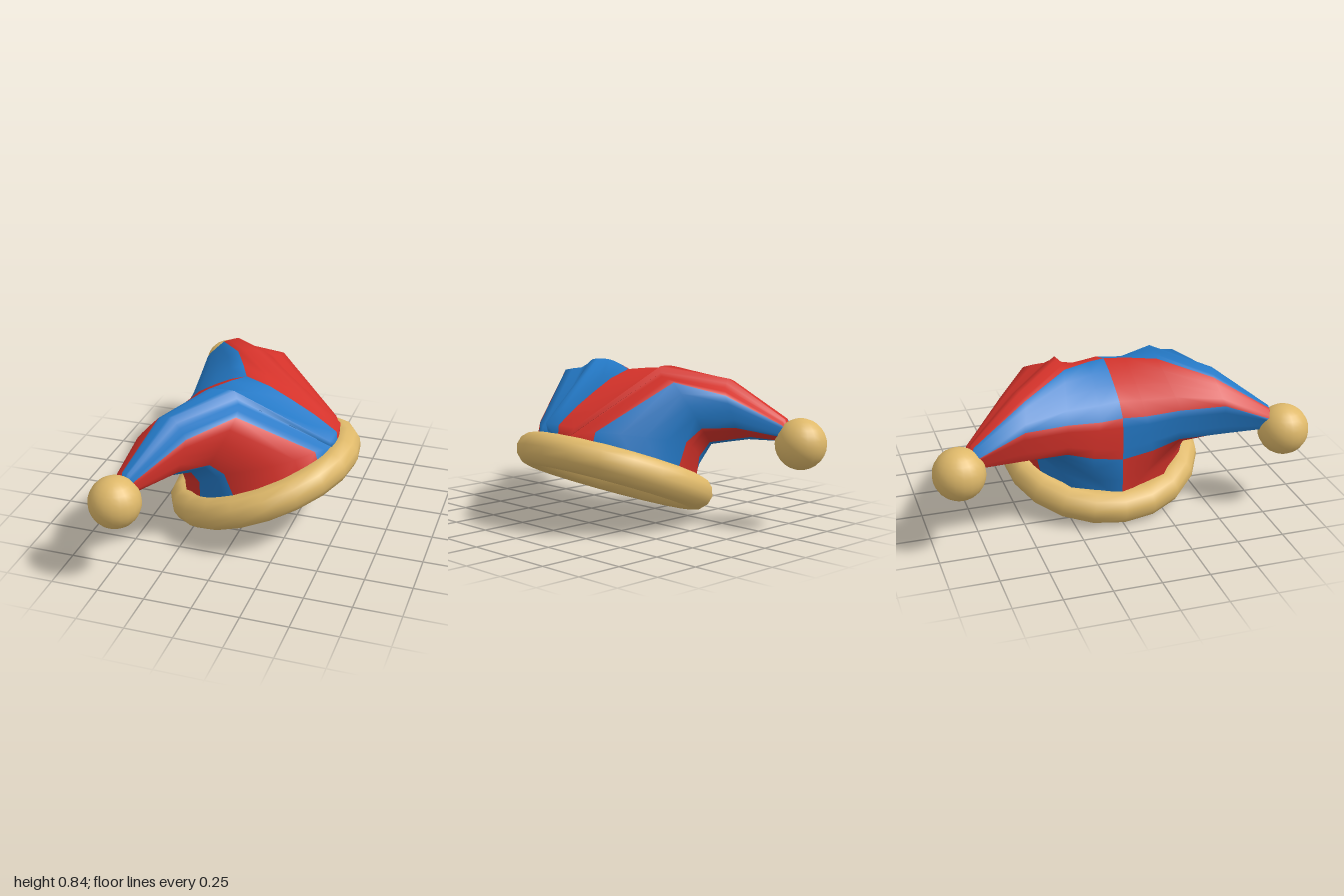
import * as THREE from 'three';

const blue = new THREE.MeshStandardMaterial({ color: 0x2479c6, side: THREE.DoubleSide });
blue.name = 'blue cloth';
const red = new THREE.MeshStandardMaterial({ color: 0xd4322a, side: THREE.DoubleSide });
red.name = 'red cloth';
const tan = new THREE.MeshStandardMaterial({ color: 0xdfb96a });
tan.name = 'tan trim';

const V = (x, y, z) => new THREE.Vector3(x, y, z);
const TILT = Math.atan2(0.33, 0.85);
const CENTRE = V(0.063, 0.255, 0);

// point on the tilted circle where the cloth meets the brim
function rim(degrees) {
  const a = THREE.MathUtils.degToRad(degrees);
  return V(0.445 * Math.cos(a), 0.03, 0.445 * Math.sin(a))
    .applyAxisAngle(V(0, 0, 1), TILT).add(CENTRE);
}

// lines running from the hat opening to the horn tip, clockwise from the crown
const TIP = V(-0.435, 0.455, 0.83);
const seams = [
  [V(-0.04, 0.8, 0), V(-0.09, 0.812, 0.1), V(-0.17, 0.818, 0.25), V(-0.34, 0.75, 0.5), V(-0.425, 0.575, 0.785)],
  [V(0.457, 0.55, 0), V(0.45, 0.547, 0.11), V(-0.02, 0.836, 0.26), V(-0.26, 0.775, 0.52), V(-0.39, 0.575, 0.795)],
  [rim(27), V(0.4, 0.53, 0.215), V(0.04, 0.77, 0.415), V(-0.16, 0.7, 0.59), V(-0.35, 0.55, 0.81)],
  [rim(90), V(-0.01, 0.46, 0.46), V(-0.07, 0.53, 0.51), V(-0.19, 0.535, 0.635), V(-0.345, 0.49, 0.805)],
  [rim(123), V(-0.165, 0.36, 0.41), V(-0.19, 0.44, 0.46), V(-0.33, 0.47, 0.62), V(-0.39, 0.46, 0.79)],
  [V(-0.38, 0.37, 0), V(-0.385, 0.4, 0.16), V(-0.395, 0.45, 0.3), V(-0.41, 0.455, 0.55), V(-0.44, 0.465, 0.78)],
  [V(-0.37, 0.6, 0), V(-0.385, 0.6, 0.12), V(-0.41, 0.62, 0.3), V(-0.45, 0.63, 0.53), V(-0.47, 0.535, 0.77)],
].map((line) => [...line, TIP]);
const panelColours = [0, 0, 1, 0, 1, 0, 1];

// inner points of each panel's starting edge, along the brim or the middle seam
const startEdges = [
  [V(0.09, 0.76, 0), V(0.21, 0.7, 0), V(0.335, 0.632, 0)],
  [V(0.465, 0.48, 0), rim(0), rim(14)],
  [rim(43), rim(59), rim(75)],
  [rim(98), rim(106), rim(115)],
  [rim(150), rim(180), V(-0.38, 0.25, 0)],
  [V(-0.38, 0.43, 0), V(-0.38, 0.49, 0), V(-0.377, 0.55, 0)],
  [V(-0.31, 0.67, 0), V(-0.22, 0.725, 0), V(-0.13, 0.77, 0)],
];
const edgeFade = [1, 0.8, 0.3, 0.1, 0.03, 0];
const STEPS = 4;
const AROUND = seams.length * STEPS;

// one cross-section: the starting edge's shape fades out towards the tip
function ring(i) {
  const points = [];
  seams.forEach((from, p) => {
    const to = seams[(p + 1) % seams.length];
    points.push(from[i].clone());
    startEdges[p].forEach((edge, k) => {
      const t = (k + 1) / STEPS;
      const bulge = edge.clone().sub(from[0].clone().lerp(to[0], t));
      points.push(from[i].clone().lerp(to[i], t).addScaledVector(bulge, edgeFade[i]));
    });
  });
  return points;
}

// half of the hat: panels of alternating colour drawn out into a horn
function horn(side) {
  const positions = [];
  for (let i = 0; i < edgeFade.length; i++) {
    for (const p of ring(i)) positions.push(p.x, p.y, p.z * side);
  }
  const geometry = new THREE.BufferGeometry();
  const index = [];
  panelColours.forEach((colour, p) => {
    const start = index.length;
    for (let j = p * STEPS; j < (p + 1) * STEPS; j++) {
      for (let i = 0; i < edgeFade.length - 1; i++) {
        const a = i * AROUND + j, b = i * AROUND + (j + 1) % AROUND;
        const c = a + AROUND, d = b + AROUND;
        if (side > 0) index.push(a, c, b, b, c, d);
        else index.push(a, b, c, b, d, c);
      }
    }
    geometry.addGroup(start, index.length - start, colour);
  });
  geometry.setAttribute('position', new THREE.Float32BufferAttribute(positions, 3));
  geometry.setIndex(index);
  geometry.computeVertexNormals();
  return new THREE.Mesh(geometry, side > 0 ? [blue, red] : [red, blue]);
}

export function createModel() {
  const hat = new THREE.Group();
  hat.name = 'jesterHat';

  // padded brim, tilted up towards +x
  const brimShape = new THREE.TorusGeometry(0.455, 0.09, 12, 20);
  brimShape.rotateX(Math.PI / 2).rotateZ(TILT);
  const brim = new THREE.Mesh(brimShape, tan);
  brim.name = 'brim';
  brim.position.copy(CENTRE);
  hat.add(brim);

  // two horns with swapped colours, each ending in a ball
  for (const side of [1, -1]) {
    const name = side > 0 ? 'front' : 'back';
    const cloth = horn(side);
    cloth.name = name + 'Horn';
    const ball = new THREE.Mesh(new THREE.SphereGeometry(0.134, 20, 14), tan);
    ball.name = name + 'Ball';
    ball.position.set(-0.437, 0.45, 0.866 * side);
    hat.add(cloth, ball);
  }
  return hat;
}
